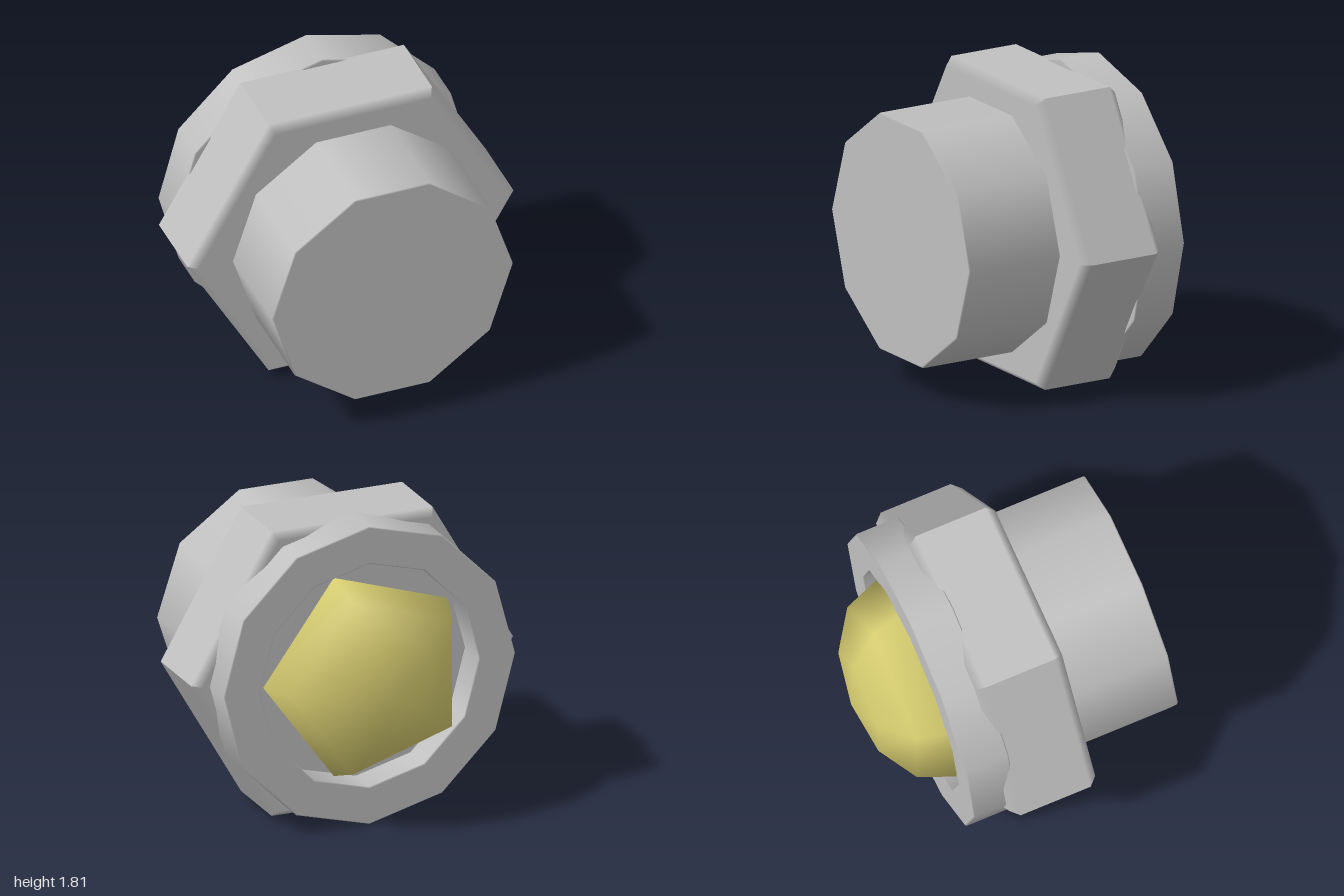
import * as THREE from 'three';

// Prism around the z axis. Each profile row is [radius, z, radialNormal, axialNormal],
// listed from front to back along the outside. Facets are flat around, or smooth if asked.
function prism(sides, profile, smooth) {
  const pos = [], nor = [];
  const step = (Math.PI * 2) / sides;
  for (let s = 0; s < sides; s++) {
    const a0 = s * step, a1 = a0 + step, mid = a0 + step / 2;
    const put = (row, a) => {
      const [r, z, nr, nz] = row;
      const na = smooth ? a : mid;
      const n = new THREE.Vector3(Math.cos(na) * nr, Math.sin(na) * nr, nz).normalize();
      pos.push(Math.cos(a) * r, Math.sin(a) * r, z);
      nor.push(n.x, n.y, n.z);
    };
    for (let i = 0; i + 1 < profile.length; i++) {
      const p = profile[i], q = profile[i + 1];
      if (q[0] > 0) { put(p, a0); put(q, a0); put(q, a1); }
      if (p[0] > 0) { put(p, a0); put(q, a1); put(p, a1); }
    }
  }
  const g = new THREE.BufferGeometry();
  g.setAttribute('position', new THREE.Float32BufferAttribute(pos, 3));
  g.setAttribute('normal', new THREE.Float32BufferAttribute(nor, 3));
  return g;
}

// Solid profile with chamfered ends
function chamfered(r, front, back, c) {
  return [
    [0, front, 0, 1], [r - c, front, 0, 1], [r, front - c, 1, 0],
    [r, back + c, 1, 0], [r - c, back, 0, -1], [0, back, 0, -1],
  ];
}

export function createModel() {
  const model = new THREE.Group();
  const metal = new THREE.MeshStandardMaterial({ color: 0xc0c0c0 });
  metal.name = 'greyMetal';
  const lens = new THREE.MeshStandardMaterial({ color: 0xd6cc70 });
  lens.name = 'yellowLens';

  const add = (name, geometry, material) => {
    const mesh = new THREE.Mesh(geometry, material);
    mesh.name = name;
    mesh.position.y = 0.907;
    model.add(mesh);
  };

  // Ten-sided plug at the front
  add('frontPlug', prism(10, chamfered(0.738, 0.855, 0.2, 0.008), true), metal);

  // Hexagonal nut with chamfered rims
  add('hexNut', prism(6, chamfered(1.0, 0.247, -0.287, 0.05), false), metal);

  // Twelve-sided collar with an open centre
  const R = 0.906, H = 0.68, c = 0.008, front = -0.22, back = -0.487;
  add('rearCollar', prism(12, [
    [H, front, 0, 1], [R - c, front, 0, 1], [R, front - c, 1, 0],
    [R, back + c, 1, 0], [R - c, back, 0, -1], [H + c, back, 0, -1],
    [H, back + c, -1, 0], [H, front, -1, 0],
  ], true), metal);

  // Flattened five-sided dome inside the collar
  const radius = 0.635, height = 0.43, base = -0.425;
  const dome = [[0, base, 0, 1], [radius, base, 0, 1]];
  for (let i = 0; i <= 3; i++) {
    const t = (i * Math.PI) / 6;
    const r = i === 3 ? 0 : radius * Math.cos(t);
    dome.push([r, base - height * Math.sin(t), Math.cos(t) / radius, -Math.sin(t) / height]);
  }
  add('lensDome', prism(5, dome, true), lens);

  return model;
}
